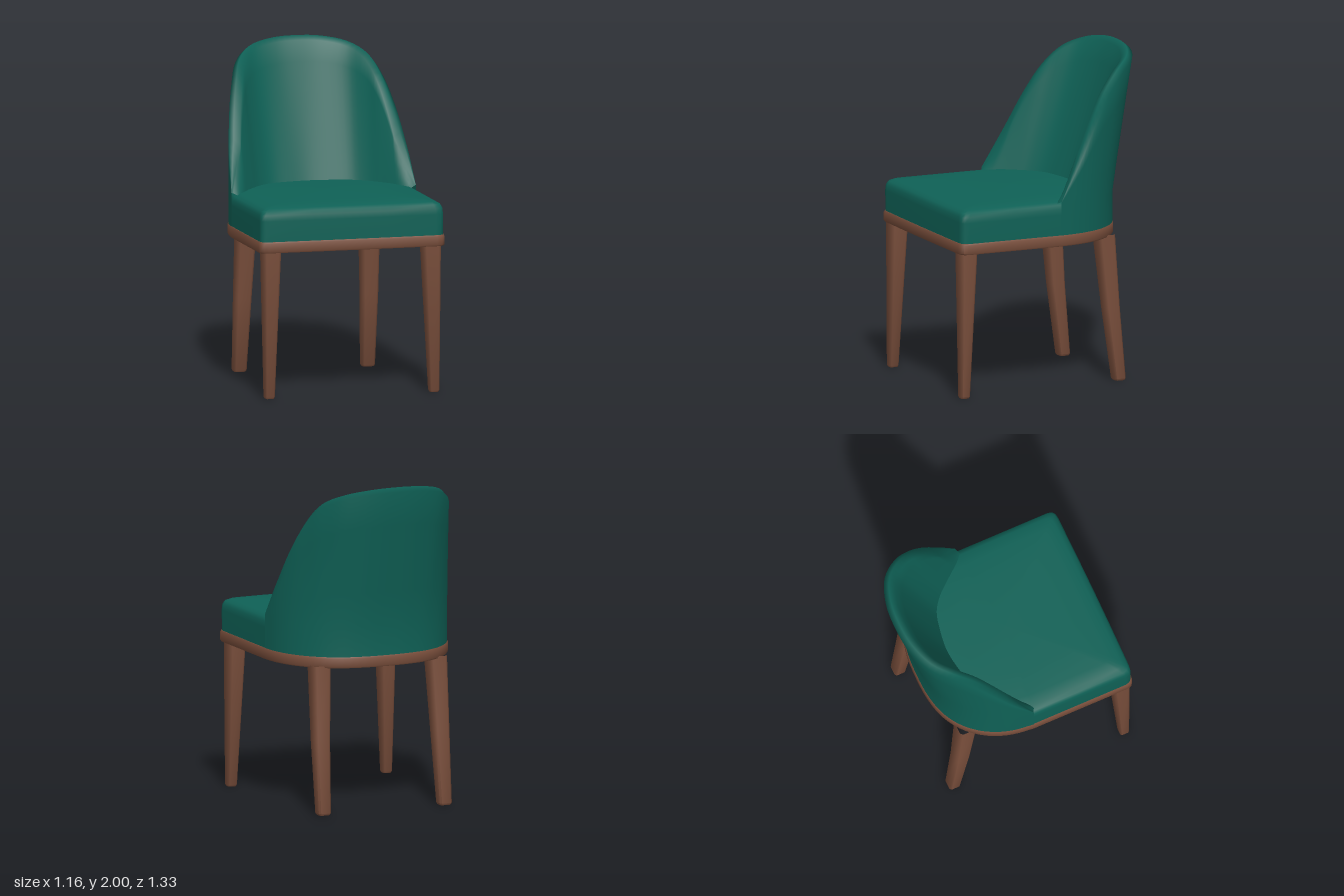
import * as THREE from 'three';
import { toCreasedNormals } from 'three/addons/utils/BufferGeometryUtils.js';

const V = (x, y, z) => new THREE.Vector3(x, y, z);

// Skin a stack of rings (equal point counts); closed rings wrap around
function loft(rings, closed) {
  const n = rings[0].length, index = [];
  for (let i = 0; i < rings.length - 1; i++) {
    for (let j = 0; j < (closed ? n : n - 1); j++) {
      const a = i * n + j, b = i * n + (j + 1) % n;
      index.push(a, b, b + n, a, b + n, a + n);
    }
  }
  const g = new THREE.BufferGeometry().setFromPoints(rings.flat());
  g.setIndex(index);
  g.computeVertexNormals();
  return g;
}

// Smooth left-to-right curve from its left half, ending on the centre line
function mirroredCurve(half, samples) {
  const pts = half.map(p => V(...p));
  const right = pts.slice(0, -1).reverse().map(p => V(-p.x, p.y, p.z));
  const curve = new THREE.CatmullRomCurve3([...pts, ...right]);
  return Array.from({ length: samples + 1 }, (_, i) => curve.getPoint(i / samples));
}

// Plan of the rounded rear, from the left side to the back centre
const REAR = [[0.575, 0.955, 0], [0.56, 0.955, -0.12], [0.525, 0.955, -0.23], [0.465, 0.955, -0.33],
  [0.38, 0.955, -0.415], [0.27, 0.955, -0.475], [0.14, 0.955, -0.505], [0, 0.955, -0.512]];

// Full seat plan: rounded rear plus a straight front with tight corners
function seatPlan() {
  const corner = [[0.575, 0.3], [0.575, 0.61], [0.568, 0.638], [0.55, 0.652], [0.52, 0.657], [0.25, 0.66]];
  const left = corner.map(([x, z]) => V(x, 0, z)).reverse();
  const right = corner.map(([x, z]) => V(-x, 0, z));
  return [V(0, 0, 0.661), ...left, ...mirroredCurve(REAR, 40), ...right];
}

// Rings of the plan, each given as [height, scale]
function planLoft(levels) {
  const plan = seatPlan(), cz = 0.07;
  return loft(levels.map(([y, s]) => plan.map(p => V(p.x * s, y, cz + (p.z - cz) * s))), true);
}

// Padded shell: up the outside, over the rim, down the inside
function backrestGeometry() {
  const N = 56;
  const base = mirroredCurve(REAR, N);
  const rim = mirroredCurve([[0.575, 1.16, 0], [0.555, 1.4, -0.13], [0.52, 1.62, -0.25], [0.475, 1.79, -0.36],
    [0.42, 1.9, -0.47], [0.32, 1.962, -0.58], [0.16, 1.993, -0.645], [0, 2, -0.66]], N);
  const inner = mirroredCurve([[0.53, 1.14, 0.02], [0.49, 1.14, -0.02], [0.44, 1.14, -0.08], [0.39, 1.14, -0.14],
    [0.33, 1.14, -0.205], [0.25, 1.14, -0.26], [0.13, 1.14, -0.29], [0, 1.14, -0.305]], N);
  const sections = base.map((o, i) => {
    const r = rim[i];
    const s = THREE.MathUtils.clamp((r.y - 1.15) / 0.3, 0.05, 1);
    const inward = V(-r.x, 0, -0.05 - r.z).normalize();
    const waist = V(o.x, 1.14, o.z);
    const edge = r.clone().add(V(0, -0.025 * s, 0));
    const top = r.clone().addScaledVector(inward, 0.03 * s);
    const lip = r.clone().addScaledVector(inward, 0.07 * s).add(V(0, -0.025 * s, 0));
    const outside = [0, 0.25, 0.5, 0.75, 1].map(t => waist.clone().lerp(edge, t));
    const inside = [0, 0.15, 0.35, 0.6, 0.85, 1].map(t => lip.clone().lerp(inner[i], t));
    return [o, ...outside, top, ...inside];
  });
  return loft(sections[0].map((_, k) => sections.map(sec => sec[k])), false);
}

// Tapered leg with softened corners; levels are [y, x, z, halfWidth, halfDepth]
function legGeometry(levels) {
  const c = 0.72;
  const octagon = [[-c, 1], [c, 1], [1, c], [1, -c], [c, -1], [-c, -1], [-1, -c], [-1, c]];
  const rings = levels.map(([y, x, z, w, d]) => octagon.map(([u, v]) => V(x + u * w, y, z + v * d)));
  return toCreasedNormals(loft(rings, true), 0.9);
}

export function createModel() {
  const group = new THREE.Group();
  const fabric = new THREE.MeshStandardMaterial({ color: 0x0f6156 });
  fabric.name = 'green fabric';
  fabric.side = THREE.DoubleSide;
  const wood = new THREE.MeshStandardMaterial({ color: 0x7a4f3c });
  wood.name = 'brown wood';
  const add = (name, geometry, material) => {
    const mesh = new THREE.Mesh(geometry, material);
    mesh.name = name;
    group.add(mesh);
  };

  // Cushion with a soft, slightly crowned top
  add('seatCushion', planLoft([[0.95, 0.994], [1.08, 0.996], [1.115, 0.99], [1.138, 0.97],
    [1.152, 0.92], [1.162, 0.8], [1.168, 0.5], [1.17, 0.001]]), fabric);
  add('backrest', backrestGeometry(), fabric);

  // Wooden rail under the cushion, closed above and below
  add('seatFrame', toCreasedNormals(planLoft([[0.888, 0.001], [0.888, 1], [0.896, 1.008],
    [0.945, 1.008], [0.955, 1], [0.955, 0.001]]), 0.9), wood);

  // Upright front legs and raked back legs
  for (const [side, s] of [['left', 1], ['right', -1]]) {
    add(side + 'FrontLeg', legGeometry([[0, s * 0.513, 0.616, 0.001, 0.001], [0, s * 0.513, 0.616, 0.024, 0.024],
      [0.012, s * 0.513, 0.616, 0.03, 0.029], [0.9, s * 0.498, 0.594, 0.055, 0.055]]), wood);
    add(side + 'BackLeg', legGeometry([[0, s * 0.4, -0.455, 0.001, 0.001], [0, s * 0.4, -0.455, 0.034, 0.03],
      [0.012, s * 0.4, -0.455, 0.04, 0.036], [0.45, s * 0.395, -0.405, 0.049, 0.046],
      [0.9, s * 0.385, -0.365, 0.058, 0.056]]), wood);
  }
  return group;
}
